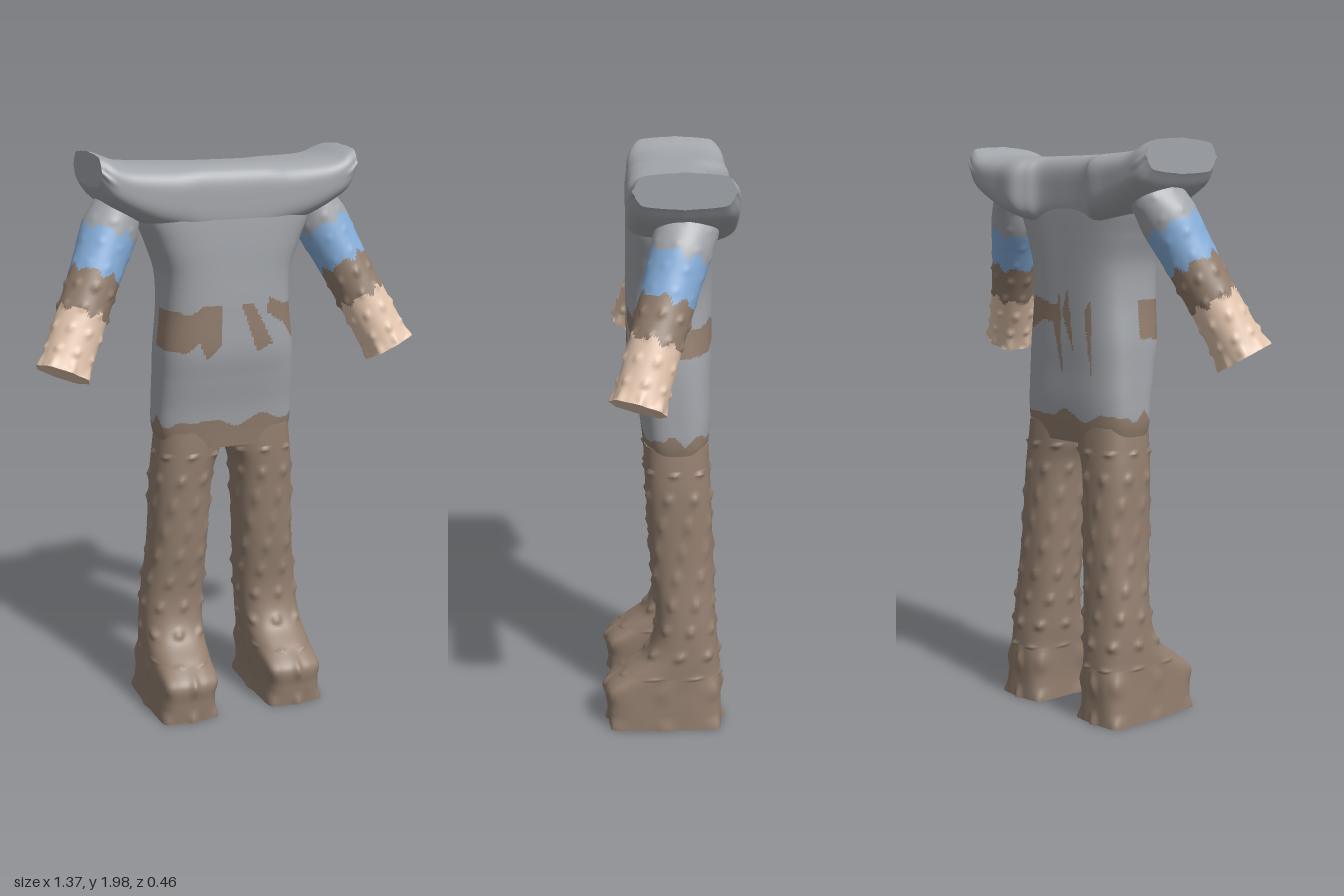
import * as THREE from 'three';

const mat = (name, color) => new THREE.MeshStandardMaterial({ name, color });

// Closed skin through rings [along, centreU, radiusU, centreV, radiusV, squareness].
// axis 'y': u = x, v = z.  axis 'x': u = z, v = y.  pick(point, angle) gives a material index.
function loft(name, rings, axis, segs, steps, materials, pick = () => 0, bump = () => 1) {
  const curve = new THREE.CubicInterpolant(rings.map((r, i) => i), rings.flat(), 6);
  const place = (k, u, v) => (axis === 'y' ? [u, k, v] : [k, v, u]);
  const pos = [], faces = materials.map(() => []);
  const ringAt = (t) => {
    const [k, cu, ru, cv, rv, n] = curve.evaluate(t);
    for (let i = 0; i < segs; i++) {
      const a = (i / segs) * Math.PI * 2, c = Math.cos(a), s = Math.sin(a);
      const r = Math.pow(Math.abs(c) ** n + Math.abs(s) ** n, -1 / n) * bump(a, k);
      pos.push(...place(k, cu + ru * c * r, cv + rv * s * r));
    }
    return place(k, cu, cv);
  };
  const vert = (i) => new THREE.Vector3().fromArray(pos, i * 3);
  const tri = (a, b, c, angle) => {
    const mid = vert(a).add(vert(b)).add(vert(c)).divideScalar(3);
    faces[pick(mid, angle)].push(a, b, c);
  };
  const last = rings.length - 1;
  for (let j = 0; j <= steps; j++) ringAt((j / steps) * last);
  for (let j = 0; j < steps; j++) for (let i = 0; i < segs; i++) {
    const p = j * segs + i, q = j * segs + ((i + 1) % segs), a = ((i + 0.5) / segs) * Math.PI * 2;
    tri(p, p + segs, q, a);
    tri(q, p + segs, q + segs, a);
  }
  // flat end caps with their own vertices
  for (const end of [0, 1]) {
    const base = pos.length / 3, centre = ringAt(end * last);
    pos.push(...centre);
    for (let i = 0; i < segs; i++) {
      const p = base + i, q = base + ((i + 1) % segs), a = ((i + 0.5) / segs) * Math.PI * 2;
      if (end) tri(base + segs, q, p, a); else tri(base + segs, p, q, a);
    }
  }
  const g = new THREE.BufferGeometry();
  g.setAttribute('position', new THREE.Float32BufferAttribute(pos, 3));
  g.setIndex(faces.flat());
  let start = 0;
  faces.forEach((f, m) => { g.addGroup(start, f.length, m); start += f.length; });
  g.computeVertexNormals();
  const mesh = new THREE.Mesh(g, materials.length > 1 ? materials : materials[0]);
  mesh.name = name;
  return mesh;
}

// ragged colour edge, small surface tufts, polygon test
const ragged = (a) => 0.6 * Math.asin(Math.sin(7 * a)) + 0.4 * Math.asin(Math.sin(11 * a + 1));
const peak = (x, n) => Math.abs(Math.cos(x)) ** n;
const tufts = (a, k, amp, count, pitch) => {
  const row = Math.round(k / pitch);
  return 1 + amp * peak((a * count) / 2 + row * 0.9, 8) * peak((k / pitch - row) * Math.PI, 8);
};
const inside = (poly, x, y) => {
  let hit = false;
  poly.forEach(([x1, y1], i) => {
    const [x2, y2] = poly[(i + 1) % poly.length];
    if ((y1 > y) !== (y2 > y) && x < ((x2 - x1) * (y - y1)) / (y2 - y1) + x1) hit = !hit;
  });
  return hit;
};

// brown waist patches as x, y outlines
const frontPatches = [
  [[-0.3, 1.46], [-0.19, 1.46], [-0.16, 1.45], [-0.11, 1.485], [-0.05, 1.485], [-0.055, 1.34], [-0.1, 1.295], [-0.13, 1.36], [-0.17, 1.32], [-0.3, 1.34]],
  [[0.02, 1.48], [0.065, 1.48], [0.14, 1.34], [0.08, 1.315]],
  [[0.11, 1.45], [0.125, 1.5], [0.18, 1.475], [0.3, 1.47], [0.3, 1.34], [0.22, 1.35], [0.19, 1.4]],
];
const backPatches = [
  [[0.3, 1.45], [0.22, 1.44], [0.16, 1.47], [0.04, 1.44], [0.05, 1.38], [0.11, 1.39], [0.17, 1.36], [0.3, 1.34]],
  [[0.02, 1.5], [0.055, 1.38], [0.01, 1.2]],
  [[-0.02, 1.5], [0.01, 1.42], [-0.05, 1.28]],
  [[-0.13, 1.47], [-0.1, 1.42], [-0.13, 1.2]],
];

export function createModel() {
  const grey = mat('grey cloth', 0xa2a5aa), brown = mat('brown cloth', 0x927e6e);
  const blue = mat('blue sleeve', 0x86aeda), skin = mat('skin', 0xe2c5ae);
  const model = new THREE.Group();
  model.name = 'headlessFigure';

  // torso and hips
  model.add(loft('torso', [
    [0.97, 0.01, 0.235, -0.035, 0.11, 3],
    [1.04, 0.01, 0.25, -0.035, 0.117, 3.2],
    [1.12, 0.01, 0.25, -0.032, 0.125, 3.2],
    [1.22, 0.01, 0.247, -0.022, 0.135, 3.2],
    [1.32, 0.008, 0.242, -0.014, 0.145, 3.2],
    [1.46, 0.006, 0.228, -0.012, 0.147, 3.2],
    [1.58, 0.005, 0.23, -0.012, 0.147, 3.4],
    [1.68, 0.005, 0.262, -0.012, 0.147, 3.6],
    [1.78, 0.005, 0.3, -0.013, 0.145, 3.6],
    [1.9, 0, 0.3, -0.014, 0.138, 3.6],
  ], 'y', 180, 120, [grey, brown], (p, a) => {
    if (p.y < 1.065 + 0.016 * ragged(a)) return 1;
    const patches = p.z > -0.02 ? frontPatches : backPatches;
    return patches.some((poly) => inside(poly, p.x, p.y)) ? 1 : 0;
  }));

  // flat shoulder yoke, scooped at the back of the neck, flared at both ends
  const half = [
    [0, -0.013, 0.147, 1.825, 0.125, 4],
    [0.11, -0.016, 0.15, 1.83, 0.12, 4],
    [0.155, -0.032, 0.166, 1.835, 0.115, 3.8],
    [0.2, -0.05, 0.182, 1.84, 0.11, 3.6],
    [0.28, -0.05, 0.18, 1.853, 0.1, 3.4],
    [0.36, -0.05, 0.178, 1.875, 0.085, 3.2],
    [0.42, -0.05, 0.172, 1.905, 0.075, 3.2],
    [0.455, -0.05, 0.155, 1.935, 0.055, 3],
  ];
  const mirrored = half.slice(1).reverse().map(([x, ...r]) => [-x, ...r]);
  model.add(loft('shoulderYoke', [...mirrored, ...half], 'x', 80, 90, [grey], undefined,
    (a, x) => 1 + 0.05 * peak(a * 4, 6) * THREE.MathUtils.smoothstep(Math.abs(x), 0.39, 0.455)));

  for (const side of [-1, 1]) {
    const label = side > 0 ? 'left' : 'right';

    // sleeve, cuff and hand in one straight limb
    const top = new THREE.Vector3(side * 0.355, 1.8, -0.06);
    const dir = new THREE.Vector3(side * 0.6, 1.285, 0.1).sub(top);
    const arm = loft(label + 'Arm', [
      [-dir.length(), 0, 0.086, 0, 0.086, 2.4],
      [-0.54, 0, 0.084, 0, 0.084, 2.2],
      [-0.42, 0, 0.085, 0, 0.085, 2],
      [-0.3, 0, 0.085, 0, 0.087, 2],
      [-0.18, 0, 0.09, 0, 0.092, 2],
      [-0.08, 0, 0.095, 0, 0.098, 2],
      [0.02, 0, 0.075, 0, 0.1, 2],
    ], 'y', 72, 72, [grey, blue, brown, skin], (p, a) => {
      const s = -p.y + 0.012 * ragged(a);
      return s < 0.1 ? 0 : s < 0.245 ? 1 : s < 0.385 ? 2 : 3;
    }, (a, k) => tufts(a, k, k < -0.25 ? 0.1 : 0.03, 8, 0.075)
      + 0.1 * peak(a * 4, 6) * THREE.MathUtils.smoothstep(-k, 0.53, 0.587));
    arm.position.copy(top);
    arm.quaternion.setFromUnitVectors(new THREE.Vector3(0, -1, 0), dir.normalize());
    model.add(arm);

    // trouser leg running into the foot: height, centre, half width, back, front, squareness
    const leg = [
      [0.008, 0.203, 0.108, -0.195, 0.205, 5],
      [0.08, 0.202, 0.106, -0.192, 0.212, 4.5],
      [0.15, 0.198, 0.106, -0.192, 0.215, 4],
      [0.21, 0.195, 0.108, -0.19, 0.15, 3],
      [0.28, 0.191, 0.11, -0.185, 0.07, 2.6],
      [0.4, 0.183, 0.11, -0.173, 0.038, 2.5],
      [0.6, 0.166, 0.104, -0.165, 0.055, 2.5],
      [0.85, 0.153, 0.106, -0.155, 0.07, 2.5],
      [0.95, 0.135, 0.115, -0.15, 0.075, 2.6],
      [1.03, 0.125, 0.115, -0.145, 0.075, 2.8],
    ].map(([y, x, w, b, f, n]) => [y, side * x + 0.012, w, (b + f) / 2, (f - b) / 2, n]);
    model.add(loft(label + 'Leg', leg, 'y', 80, 110, [brown], undefined,
      (a, k) => (k > 0.2 && k < 0.95 ? tufts(a, k, 0.1, 8, 0.095) : 1)
        + 0.07 * peak(a * 4, 8) * (1 - THREE.MathUtils.smoothstep(k, 0.01, 0.06))
        + 0.06 * peak(a * 4, 8) * peak((k - 0.15) * 20, 4) * (k > 0.09 && k < 0.2 ? 1 : 0)));
  }
  return model;
}
